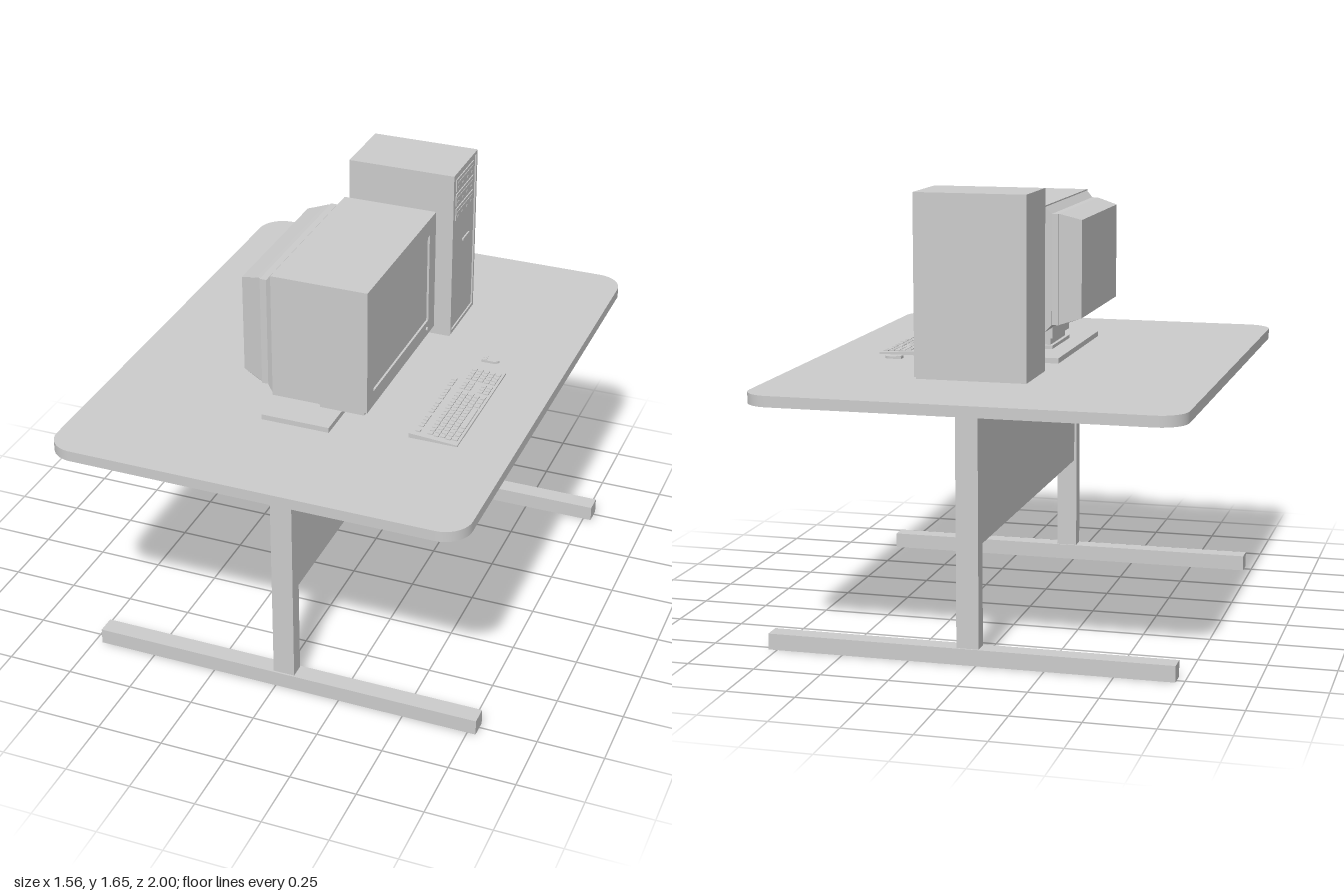
import * as THREE from 'three';
import { toCreasedNormals } from 'three/addons/utils/BufferGeometryUtils.js';
import { ConvexGeometry } from 'three/addons/geometries/ConvexGeometry.js';

const material = new THREE.MeshStandardMaterial({ color: 0xcccccc });

function add(parent, name, geometry) {
  const mesh = new THREE.Mesh(geometry, material);
  mesh.name = name;
  parent.add(mesh);
  return mesh;
}

function group(parent, name) {
  const g = new THREE.Group();
  g.name = name;
  parent.add(g);
  return g;
}

// Box given by its ranges along x, y and z
function box(parent, name, [x0, x1], [y0, y1], [z0, z1]) {
  const geo = new THREE.BoxGeometry(x1 - x0, y1 - y0, z1 - z0);
  geo.translate((x0 + x1) / 2, (y0 + y1) / 2, (z0 + z1) / 2);
  return add(parent, name, geo);
}

// Solid between two rectangles, each [x, y0, y1, z0, z1]
function taper(parent, name, ...ends) {
  const points = [];
  for (const [x, y0, y1, z0, z1] of ends)
    for (const y of [y0, y1]) for (const z of [z0, z1]) points.push(new THREE.Vector3(x, y, z));
  return add(parent, name, new ConvexGeometry(points));
}

// Rectangular frame facing +x, with a rectangular opening
function frame(parent, name, [x0, x1], [y0, y1], [z0, z1], [hy0, hy1], [hz0, hz1]) {
  const rect = (path, a, b, c, d) =>
    path.moveTo(-b, c).lineTo(-a, c).lineTo(-a, d).lineTo(-b, d).closePath();
  const shape = rect(new THREE.Shape(), z0, z1, y0, y1);
  shape.holes.push(rect(new THREE.Path(), hz0, hz1, hy0, hy1));
  const geo = new THREE.ExtrudeGeometry(shape, { depth: x1 - x0, bevelEnabled: false });
  geo.rotateY(Math.PI / 2).translate(x0, 0, 0);
  return add(parent, name, geo);
}

function buildTable(parent) {
  const table = group(parent, 'table');
  // Top with rounded corners
  const w = 0.78, d = 1, r = 0.1;
  const s = new THREE.Shape();
  s.moveTo(-w + r, -d).lineTo(w - r, -d).absarc(w - r, -d + r, r, -Math.PI / 2, 0);
  s.lineTo(w, d - r).absarc(w - r, d - r, r, 0, Math.PI / 2);
  s.lineTo(-w + r, d).absarc(-w + r, d - r, r, Math.PI / 2, Math.PI);
  s.lineTo(-w, -d + r).absarc(-w + r, -d + r, r, Math.PI, Math.PI * 1.5);
  const top = new THREE.ExtrudeGeometry(s, { depth: 0.04, bevelEnabled: false, curveSegments: 8 });
  top.rotateX(-Math.PI / 2).translate(0, 0.945, 0);
  add(table, 'tabletop', toCreasedNormals(top, 0.6));
  // Legs on long feet, one at each end
  for (const z of [0.758, -0.738]) {
    box(table, 'foot', [-0.72, 0.782], [0, 0.06], [z - 0.035, z + 0.035]);
    box(table, 'leg', [-0.01, 0.072], [0.06, 0.945], [z - 0.028, z + 0.028]);
  }
  box(table, 'modestyPanel', [0, 0.068], [0.425, 0.945], [-0.711, 0.731]);
}

function buildMonitor(parent) {
  const monitor = group(parent, 'monitor');
  // Cabinet with a shallow screen recess
  box(monitor, 'cabinet', [-0.09, 0.262], [1.103, 1.575], [-0.135, 0.56]);
  frame(monitor, 'screenBezel', [0.262, 0.27], [1.103, 1.575], [-0.135, 0.56], [1.16, 1.51], [-0.07, 0.5]);
  const knob = new THREE.CylinderGeometry(0.008, 0.008, 0.006, 12);
  knob.rotateZ(Math.PI / 2).translate(0.273, 1.132, -0.052);
  add(monitor, 'powerButton', knob);
  // Stepped, tapering rear housing
  taper(monitor, 'rearCollar', [-0.09, 1.105, 1.57, -0.13, 0.555], [-0.115, 1.13, 1.545, -0.125, 0.54]);
  box(monitor, 'rearStep', [-0.14, -0.115], [1.13, 1.545], [-0.123, 0.538]);
  taper(monitor, 'rearHousing', [-0.14, 1.13, 1.545, -0.115, 0.53],
    [-0.16, 1.133, 1.54, -0.108, 0.523], [-0.222, 1.155, 1.522, -0.095, 0.505]);
  // Control box under the front, swivel neck and base
  box(monitor, 'controlBox', [0.07, 0.24], [1.06, 1.103], [-0.08, 0.51]);
  box(monitor, 'neckTop', [-0.068, 0.048], [1.045, 1.103], [0.08, 0.345]);
  box(monitor, 'neck', [-0.055, 0.036], [1.018, 1.045], [0.094, 0.33]);
  box(monitor, 'neckFoot', [-0.068, 0.048], [1.005, 1.018], [0.075, 0.355]);
  box(monitor, 'base', [-0.14, 0.12], [0.985, 1.005], [-0.12, 0.55]);
}

function buildTower(parent) {
  const tower = group(parent, 'computerTower');
  box(tower, 'case', [-0.13, 0.28], [0.985, 1.655], [-0.555, -0.285]);
  frame(tower, 'frontRim', [0.28, 0.286], [0.992, 1.655], [-0.555, -0.285], [1.005, 1.643], [-0.543, -0.297]);
  // Drive bays with a slot and small vents
  for (let i = 0; i < 3; i++) {
    const y = 1.6 - i * 0.06;
    box(tower, 'driveBay', [0.28, 0.284], [y - 0.024, y + 0.024], [-0.52, -0.325]);
    box(tower, 'driveSlot', [0.284, 0.286], [y + 0.006, y + 0.011], [-0.51, -0.335]);
    for (let k = 0; k < 4; k++) {
      const z = -0.5 + k * 0.05;
      box(tower, 'driveButton', [0.284, 0.286], [y - 0.014, y - 0.008], [z, z + 0.012]);
    }
  }
  box(tower, 'powerSwitch', [0.28, 0.286], [1.335, 1.343], [-0.485, -0.415]);
}

function buildKeyboard(parent) {
  const keyboard = group(parent, 'keyboard');
  taper(keyboard, 'keyboardBody', [0.395, 0.985, 1.003, -0.08, 0.475], [0.577, 0.985, 0.991, -0.08, 0.475]);
  // Grid of keys following the slope of the body
  const keys = (x0, rows, z0, z1, cols) => {
    const pitch = (z1 - z0) / cols;
    for (let r = 0; r < rows; r++) {
      const x = x0 + r * 0.023;
      const top = 1.003 - (x - 0.385) * 0.066 + 0.004;
      const shift = cols > 6 ? (r % 2) * 0.004 : 0;
      for (let c = 0; c < cols; c++) {
        const z = z0 + c * pitch + shift;
        box(keyboard, 'key', [x, x + 0.018], [top - 0.008, top], [z, z + pitch * 0.78]);
      }
    }
  };
  keys(0.457, 5, -0.058, 0.032, 4); // number pad
  keys(0.457, 2, 0.044, 0.108, 3);  // navigation keys
  keys(0.526, 2, 0.044, 0.108, 3);  // arrow keys
  keys(0.457, 4, 0.12, 0.455, 14);  // letters
  keys(0.549, 1, 0.12, 0.21, 3);    // bottom row
  box(keyboard, 'spaceBar', [0.549, 0.567], [0.99, 0.996], [0.215, 0.36]);
  keys(0.549, 1, 0.367, 0.455, 3);
  for (const [a, b, n] of [[0.044, 0.108, 3], [0.12, 0.21, 4], [0.225, 0.315, 4], [0.33, 0.42, 4], [0.435, 0.457, 1]])
    keys(0.411, 1, a, b, n);        // function keys
}

function buildMouse(parent) {
  const mouse = group(parent, 'mouse');
  // Low rounded body with two buttons toward the back
  const outline = new THREE.Shape();
  outline.moveTo(-0.033, -0.017).lineTo(0.018, -0.017);
  outline.quadraticCurveTo(0.05, 0, 0.018, 0.017).lineTo(-0.033, 0.017).closePath();
  const geo = new THREE.ExtrudeGeometry(outline, { depth: 0.009, bevelEnabled: false, curveSegments: 6 });
  geo.rotateX(-Math.PI / 2).translate(0.493, 0.985, -0.157);
  add(mouse, 'mouseBody', toCreasedNormals(geo, 0.6));
  for (const z of [-0.173, -0.156]) box(mouse, 'mouseButton', [0.462, 0.48], [0.992, 0.996], [z, z + 0.015]);
}

export function createModel() {
  const model = new THREE.Group();
  model.name = 'computerDesk';
  buildTable(model);
  buildMonitor(model);
  buildTower(model);
  buildKeyboard(model);
  buildMouse(model);
  return model;
}
